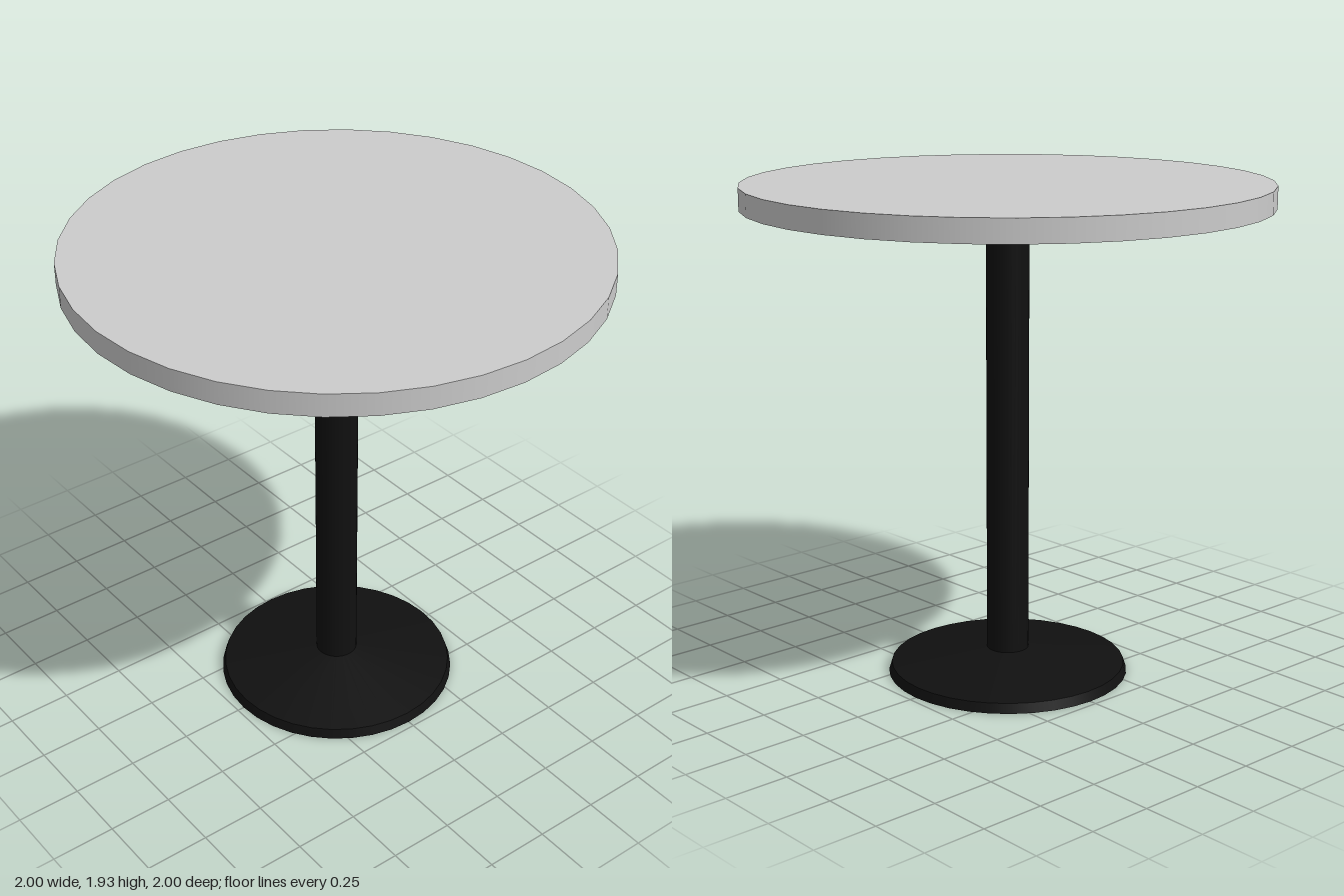
import * as THREE from 'three';

const SIDES = 36;
const grey = new THREE.MeshStandardMaterial({ color: 0xcccccc });
const black = new THREE.MeshStandardMaterial({ color: 0x101010 });

// Upright round section between two heights
function section(name, rTop, rBottom, y0, y1, material, open = false) {
  const geometry = new THREE.CylinderGeometry(rTop, rBottom, y1 - y0, SIDES, 1, open);
  const mesh = new THREE.Mesh(geometry, material);
  mesh.name = name;
  mesh.position.y = (y0 + y1) / 2;
  return mesh;
}

export function createModel() {
  const table = new THREE.Group();
  table.name = 'pedestalTable';

  // Round foot: a low bevelled rim under a shallow cone
  const base = new THREE.Group();
  base.name = 'base';
  base.add(
    section('baseRim', 0.46, 0.472, 0, 0.037, black),
    section('baseCone', 0.082, 0.46, 0.037, 0.093, black, true)
  );

  table.add(
    base,
    section('column', 0.082, 0.082, 0.09, 1.85, black),
    section('tableTop', 1, 1, 1.848, 1.934, grey)
  );
  return table;
}
